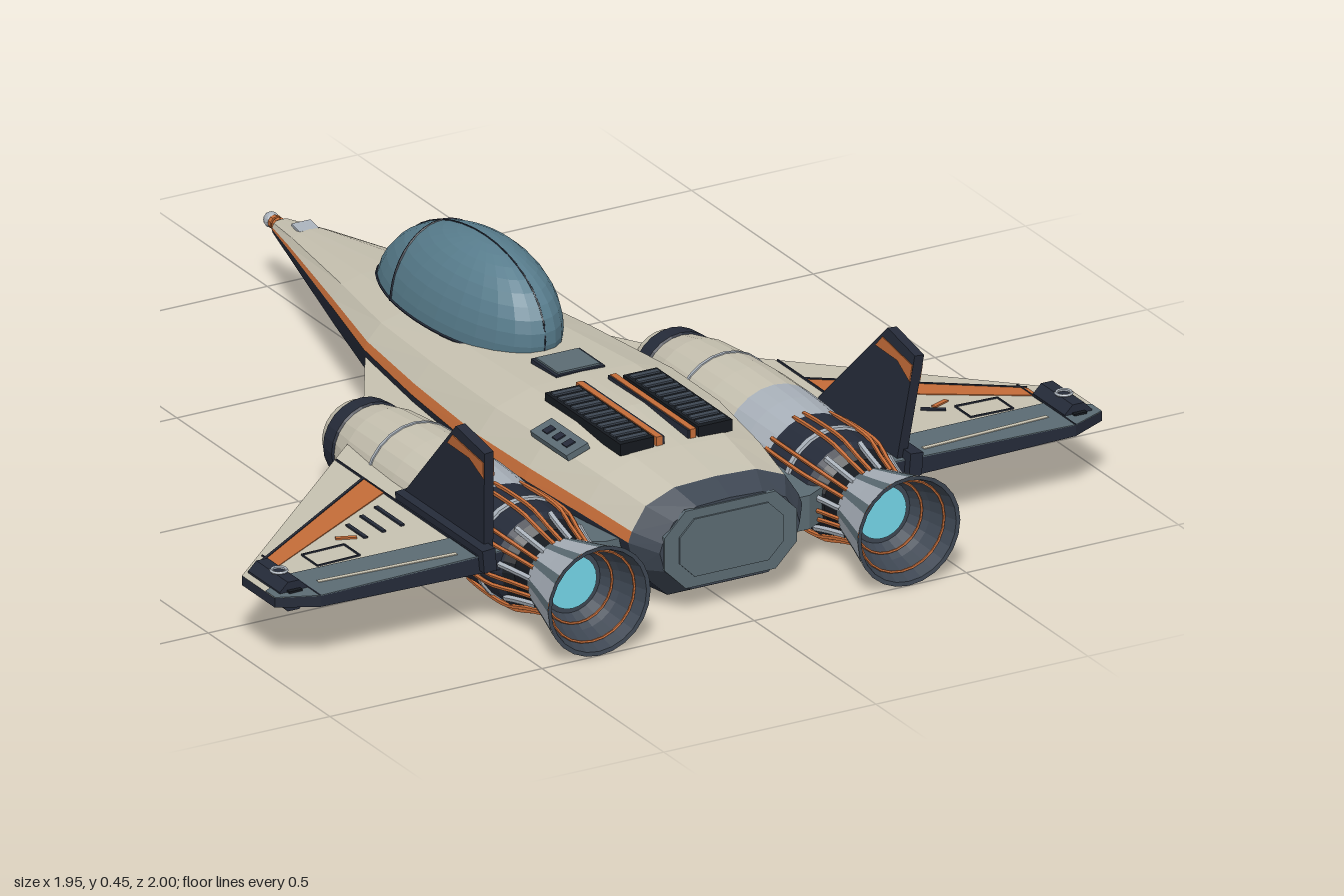
import * as THREE from 'three';

const mat = (name, color) => new THREE.MeshStandardMaterial({ name, color, flatShading: true });

export function createModel() {
  const M = {
    hull: mat('sandHull', 0xc6c1b0), navy: mat('navy', 0x252b39), orange: mat('orangeTrim', 0xc46c38),
    steel: mat('steel', 0x5b6b73), darkSteel: mat('darkSteel', 0x3d4652), silver: mat('silver', 0xa8b0b9),
    glass: mat('canopyGlass', 0x587d8d), glow: mat('engineGlow', 0x74d6e8), black: mat('nearBlack', 0x15191f),
  };
  const root = new THREE.Group();
  root.name = 'spacecraft';
  const add = (geo, m, name, parent = root) => {
    const mesh = new THREE.Mesh(geo, m);
    mesh.name = name;
    parent.add(mesh);
    return mesh;
  };
  const box = (w, h, d, x, y, z, m, name, parent) => {
    const b = add(new THREE.BoxGeometry(w, h, d), m, name, parent);
    b.position.set(x, y, z);
    return b;
  };
  // Flat plate from an x/z outline, mirrored by s
  const plateGeo = (pts, y0, y1, s) => {
    const shape = new THREE.Shape(pts.map(([x, z]) => new THREE.Vector2(x * s, -z)));
    const g = new THREE.ExtrudeGeometry(shape, { depth: y1 - y0, bevelEnabled: false });
    return g.rotateX(-Math.PI / 2).translate(0, y0, 0);
  };
  // Wing plates grow thinner towards the tip
  const taper = (g) => {
    const p = g.attributes.position;
    for (let i = 0; i < p.count; i++) p.setY(i, 0.155 + (p.getY(i) - 0.155) * (1.84 - 1.17 * Math.abs(p.getX(i))));
    g.computeVertexNormals();
    return g;
  };
  const V = (x, y, z) => new THREE.Vector3(x, y, z);
  const tube = (pts, r, m, name, parent, seg = 20) =>
    add(new THREE.TubeGeometry(new THREE.CatmullRomCurve3(pts), seg, r, 5), m, name, parent);

  // Fuselage stations: z, half width, top, shoulder line, bottom
  const stations = [
    [-0.94, 0.024, 0.18, 0.163, 0.145], [-0.82, 0.055, 0.2, 0.17, 0.125], [-0.5, 0.138, 0.238, 0.182, 0.078],
    [-0.25, 0.203, 0.262, 0.19, 0.055], [0, 0.235, 0.28, 0.19, 0.037], [0.3, 0.26, 0.298, 0.19, 0.025],
    [0.5, 0.255, 0.302, 0.19, 0.02], [0.7, 0.23, 0.287, 0.18, 0.022], [0.84, 0.205, 0.27, 0.165, 0.03],
    [0.9, 0.165, 0.245, 0.155, 0.06],
  ];
  const ring = ([z, w, t, m, b]) => {
    const h = t - m, d = m - b;
    const half = [[0, t], [0.47 * w, t - 0.04 * h], [0.8 * w, m + 0.7 * h], [0.96 * w, m + 0.22 * h],
      [w, m], [0.93 * w, m - 0.45 * d], [0.55 * w, b], [0, b]];
    const other = half.slice(1, 7).reverse().map(([x, y]) => [-x, y]);
    return [...half, ...other].map(([x, y]) => [x, y, z]);
  };
  const rings = stations.map(ring);
  const stripMat = ['hull', 'hull', 'hull', 'orange', 'navy', 'navy', 'navy'];
  const tris = { hull: [], orange: [], navy: [], darkSteel: [] };
  for (let i = 0; i < rings.length - 1; i++) {
    for (let k = 0; k < 14; k++) {
      const n = (k + 1) % 14, strip = k < 7 ? k : 13 - k;
      const key = i === rings.length - 2 ? 'darkSteel' : stripMat[strip];
      const [a, b, c, d] = [rings[i][k], rings[i][n], rings[i + 1][n], rings[i + 1][k]];
      tris[key].push(a, d, c, a, c, b);
    }
  }
  for (let k = 1; k < 13; k++) {
    tris.hull.push(rings[0][0], rings[0][k], rings[0][k + 1]);
    tris.darkSteel.push(rings[9][0], rings[9][k + 1], rings[9][k]);
  }
  for (const [key, name] of [['hull', 'upperHull'], ['orange', 'hullStripe'], ['navy', 'lowerHull'], ['darkSteel', 'stern']]) {
    const g = new THREE.BufferGeometry();
    g.setAttribute('position', new THREE.Float32BufferAttribute(tris[key].flat(), 3));
    g.computeVertexNormals();
    add(g, M[key], name);
  }

  // Stern panel: two stacked octagons
  const octagon = (w, y0, y1, c, z, m, name) => {
    const p = [[-w + c, y0], [w - c, y0], [w, y0 + c], [w, y1 - c], [w - c, y1], [-w + c, y1], [-w, y1 - c], [-w, y0 + c]];
    const shape = new THREE.Shape(p.map(([x, y]) => new THREE.Vector2(x, y)));
    add(new THREE.ExtrudeGeometry(shape, { depth: 0.009, bevelEnabled: false }).translate(0, 0, z), m, name);
  };
  octagon(0.156, 0.066, 0.238, 0.05, 0.895, M.steel, 'sternPanel');
  octagon(0.122, 0.09, 0.218, 0.035, 0.899, M.steel, 'sternInnerPanel');

  // Nose probe
  const probe = (r, z0, z1, m, name) =>
    add(new THREE.CylinderGeometry(r, r, z1 - z0, 10).rotateX(Math.PI / 2).translate(0, 0.163, (z0 + z1) / 2), m, name);
  probe(0.011, -0.975, -0.93, M.silver, 'noseProbe');
  [-0.966, -0.951].forEach((z) => probe(0.0155, z - 0.005, z + 0.005, M.orange, 'probeRing'));
  add(new THREE.SphereGeometry(0.017, 12, 8).translate(0, 0.163, -0.983), M.silver, 'probeTip');
  box(0.045, 0.006, 0.035, 0, 0.198, -0.845, M.silver, 'noseSensor').rotation.x = 0.16;

  // Canopy: skewed half ellipsoid with thin ribs
  const canopyAt = (x, y, z) => V(0.132 * x, 0.27 + 0.185 * y, -0.17 + 0.305 * z + 0.07 * y);
  const dome = new THREE.SphereGeometry(1, 28, 10, 0, Math.PI * 2, 0, Math.PI / 2);
  const dp = dome.attributes.position;
  for (let i = 0; i < dp.count; i++) {
    const p = canopyAt(dp.getX(i), dp.getY(i), dp.getZ(i));
    dp.setXYZ(i, p.x, p.y, p.z);
  }
  dome.computeVertexNormals();
  add(dome, M.glass, 'canopy');
  const arc = (f) => Array.from({ length: 13 }, (_, i) => f((i / 12) * Math.PI));
  tube(arc((a) => {
    // Upright rib: find where the plane z = -0.28 meets the skewed surface
    let r = 0.85, t = 0;
    for (let i = 0; i < 8; i++) {
      t = (-0.11 - 0.07 * r * Math.sin(a)) / 0.305;
      r = Math.sqrt(1 - t * t);
    }
    return canopyAt(r * Math.cos(a), r * Math.sin(a), t);
  }), 0.003, M.navy, 'canopyRib');
  tube(arc((a) => canopyAt(0, Math.sin(a), Math.cos(a))), 0.002, M.navy, 'canopySpine');
  tube(arc((a) => canopyAt(Math.cos(2 * a), 0.02, Math.sin(2 * a))), 0.003, M.navy, 'canopySill', root, 40);

  // Deck details
  box(0.115, 0.02, 0.105, 0, 0.289, 0.235, M.navy, 'hatchFrame');
  box(0.1, 0.02, 0.09, 0, 0.293, 0.235, M.steel, 'hatch');
  for (const s of [-1, 1]) {
    box(0.08, 0.026, 0.31, s * 0.092, 0.296, 0.525, M.black, 'vent');
    for (let i = 0; i < 11; i++) box(0.066, 0.006, 0.014, s * 0.092, 0.31, 0.39 + i * 0.027, M.darkSteel, 'ventSlat');
    box(0.014, 0.02, 0.33, s * 0.04, 0.297, 0.515, M.orange, 'deckStrip');
    box(0.004, 0.018, 0.33, s * 0.03, 0.297, 0.515, M.navy, 'deckStripEdge');
    box(0.01, 0.006, 0.26, s * 0.07, 0.022, 0.45, M.hull, 'bellyLine');
    box(0.008, 0.006, 0.2, s * 0.05, 0.044, -0.12, M.hull, 'bellyLine').rotation.x = 0.073;
  }
  const access = box(0.054, 0.014, 0.15, -0.188, 0.276, 0.53, M.steel, 'accessPanel');
  access.rotation.z = 0.34;
  [-0.04, 0, 0.04].forEach((z) => box(0.022, 0.008, 0.02, 0, 0.006, z, M.navy, 'accessButton', access));

  // Engine bands along the axis: material, name, [radius, z] profile
  const bands = [
    ['black', 'inlet', [[0, -0.012], [0.055, -0.016]]],
    ['hull', 'inletLip', [[0.055, -0.016], [0.062, -0.022], [0.074, -0.01], [0.083, 0.018]]],
    ['navy', 'inletRing', [[0.082, 0.016], [0.09, 0.022], [0.094, 0.064], [0.09, 0.07]]],
    ['hull', 'cowl', [[0.09, 0.066], [0.105, 0.13], [0.115, 0.24], [0.12, 0.34], [0.12, 0.445]]],
    ['silver', 'cowlSeam', [[0.112, 0.238], [0.1175, 0.24], [0.1175, 0.247], [0.112, 0.249]]],
    ['silver', 'midCasing', [[0.12, 0.445], [0.118, 0.52], [0.112, 0.6]]],
    ['navy', 'rearCasing', [[0.112, 0.598], [0.111, 0.605], [0.109, 0.76], [0.1, 0.775]]],
    ['silver', 'rearRing', [[0.105, 0.676], [0.115, 0.679], [0.115, 0.692], [0.105, 0.695]]],
    ['black', 'throat', [[0.1, 0.772], [0.08, 0.79], [0.074, 0.85]]],
    ['darkSteel', 'nozzleInside', [[0.121, 1], [0.112, 0.999], [0.09, 0.93], [0.068, 0.885], [0.055, 0.885]]],
    ['glow', 'exhaustGlow', [[0.058, 0.888], [0, 0.888]]],
  ];
  const lathe = (pts, m, name, parent, seg = 24, start = 0, len = Math.PI * 2) =>
    add(new THREE.LatheGeometry(pts.map(([r, z]) => new THREE.Vector2(r, z)), seg, start, len).rotateX(Math.PI / 2), m, name, parent);

  for (const s of [-1, 1]) {
    const side = s > 0 ? 'left' : 'right';
    const engine = new THREE.Group();
    engine.name = side + 'Engine';
    engine.position.set(s * 0.365, 0.129, 0);
    root.add(engine);
    for (const [m, name, pts] of bands) lathe(pts, M[m], name, engine);
    // Nozzle petals, wide bright and narrow dark
    for (let i = 0; i < 12; i++) {
      const a = (i / 12) * Math.PI * 2, petal = [[0.07, 0.835], [0.082, 0.845], [0.1, 0.92], [0.121, 1]];
      lathe(petal, M.silver, 'nozzlePetal', engine, 1, a, 0.36);
      lathe(petal, M.steel, 'nozzleGap', engine, 1, a + 0.36, Math.PI / 6 - 0.36);
    }
    // Paired fuel pipes and struts at the throat
    for (let i = 0; i < 16; i++) {
      const a = (i / 16) * Math.PI * 2 + (i % 2 ? -0.09 : 0.09);
      const at = (pts, t) => pts.map(([r, z]) => V(r * Math.cos(t), r * Math.sin(t), z));
      tube(at([[0.111, 0.585], [0.115, 0.64], [0.113, 0.75], [0.098, 0.8], [0.083, 0.86]], a), 0.005, M.orange, 'fuelPipe', engine, 10);
      if (i % 2) tube(at([[0.106, 0.765], [0.096, 0.8], [0.082, 0.86]], a + 0.3), 0.007, M.silver, 'throatStrut', engine, 4);
    }
    for (const [r, z] of [[0.079, 0.915], [0.1, 0.97]])
      add(new THREE.TorusGeometry(r, 0.003, 5, 24).translate(0, 0, z), M.orange, 'nozzleRing', engine);

    // Strake and engine pylon
    const strake = [[0.17, -0.25], [0.2, -0.25], [0.33, -0.03], [0.36, 0.05], [0.36, 0.6], [0.2, 0.6]];
    add(plateGeo(strake, 0.16, 0.172, s), [M.hull, M.navy], side + 'StrakeTop');
    add(plateGeo(strake, 0.142, 0.16, s), M.navy, side + 'StrakeBottom');
    add(plateGeo([[0.15, 0.3], [0.33, 0.3], [0.33, 0.76], [0.24, 0.81], [0.15, 0.81]], 0.09, 0.165, s), M.steel, side + 'Pylon');

    // Wing with light top, dark edges and underside, painted panels
    const wing = new THREE.Group();
    wing.name = side + 'Wing';
    root.add(wing);
    const outline = [[0.38, 0.06], [0.48, 0.147], [0.975, 0.595], [0.975, 0.73], [0.89, 0.77], [0.38, 0.77]];
    add(taper(plateGeo(outline, 0.158, 0.17, s)), [M.hull, M.navy], 'wingTop', wing);
    add(taper(plateGeo(outline, 0.14, 0.158, s)), M.navy, 'wingBottom', wing);
    const paint = (pts, m, name, h = 0.172) => add(taper(plateGeo(pts, 0.169, h, s)), m, name, wing);
    const line = (x0, z0, x1, z1, w, m, name) => {
      // Straight painted line of width w
      const l = Math.hypot(x1 - x0, z1 - z0), nx = (-(z1 - z0) / l) * w / 2, nz = ((x1 - x0) / l) * w / 2;
      paint([[x0 + nx, z0 + nz], [x1 + nx, z1 + nz], [x1 - nx, z1 - nz], [x0 - nx, z0 - nz]], m, name, 0.1735);
    };
    paint([[0.46, 0.66], [0.89, 0.64], [0.974, 0.69], [0.974, 0.73], [0.89, 0.77], [0.46, 0.77]], M.steel, 'flap');
    line(0.55, 0.735, 0.86, 0.706, 0.011, M.hull, 'flapLine');
    paint([[0.52, 0.305], [0.9, 0.555], [0.9, 0.6], [0.52, 0.385]], M.orange, 'wingStripe');
    line(0.52, 0.301, 0.9, 0.551, 0.006, M.navy, 'stripeEdge');
    line(0.52, 0.19, 0.52, 0.77, 0.003, M.navy, 'panelLine');
    line(0.89, 0.53, 0.89, 0.77, 0.003, M.navy, 'panelLine');
    if (s < 0) {
      for (const x of [0.57, 0.618, 0.665]) line(x, 0.44 + (x - 0.57) * 0.5, x, 0.55 + (x - 0.57) * 0.15, 0.009, M.navy, 'wingSlot');
    } else {
      for (const [x, z] of [[0.57, 0.44], [0.575, 0.51], [0.65, 0.55]]) line(x, z, x + 0.045, z + 0.026, 0.01, M.navy, 'wingDash');
    }
    line(0.68, 0.552, 0.72, 0.535, 0.01, M.orange, 'wingMark');
    for (const [x0, z0, x1, z1] of [[0.72, 0.57, 0.82, 0.57], [0.82, 0.57, 0.82, 0.635], [0.82, 0.635, 0.72, 0.635], [0.72, 0.635, 0.72, 0.57]])
      line(x0, z0, x1, z1, 0.003, M.navy, 'accessOutline');

    // Wingtip pod with lamp
    const pod = add(new THREE.CylinderGeometry(0.035, 0.035, 0.13, 8).rotateY(Math.PI / 8).rotateX(Math.PI / 2), M.navy, 'tipPod', wing);
    pod.position.set(s * 0.925, 0.157, 0.655);
    add(new THREE.TorusGeometry(0.016, 0.004, 5, 14).rotateX(Math.PI / 2).translate(s * 0.925, 0.191, 0.66), M.silver, 'tipLampRing', wing);
    box(0.03, 0.03, 0.02, s * 0.925, 0.157, 0.72, M.black, 'tipPodEnd', wing);

    // Canted tail fin with painted tip
    const fin = new THREE.Group();
    fin.name = side + 'Fin';
    fin.position.set(s * 0.472, 0, 0);
    fin.rotation.z = -s * 0.085;
    root.add(fin);
    const finPlate = (pts, d, m, name) => {
      const shape = new THREE.Shape(pts.map(([z, y]) => new THREE.Vector2(z, y)));
      const g = new THREE.ExtrudeGeometry(shape, { depth: d, bevelEnabled: false });
      add(g.translate(0, 0, -d / 2).rotateY(-Math.PI / 2), m, name, fin);
    };
    finPlate([[0.43, 0.16], [0.43, 0.19], [0.68, 0.435], [0.795, 0.415], [0.755, 0.16]], 0.022, M.navy, 'finBlade');
    finPlate([[0.64, 0.383], [0.665, 0.41], [0.735, 0.4], [0.79, 0.393], [0.785, 0.355], [0.73, 0.382]], 0.026, M.orange, 'finPaint');
    box(0.03, 0.05, 0.36, s * 0.016, 0.172, 0.61, M.navy, 'finRoot', fin);
  }
  return root;
}
